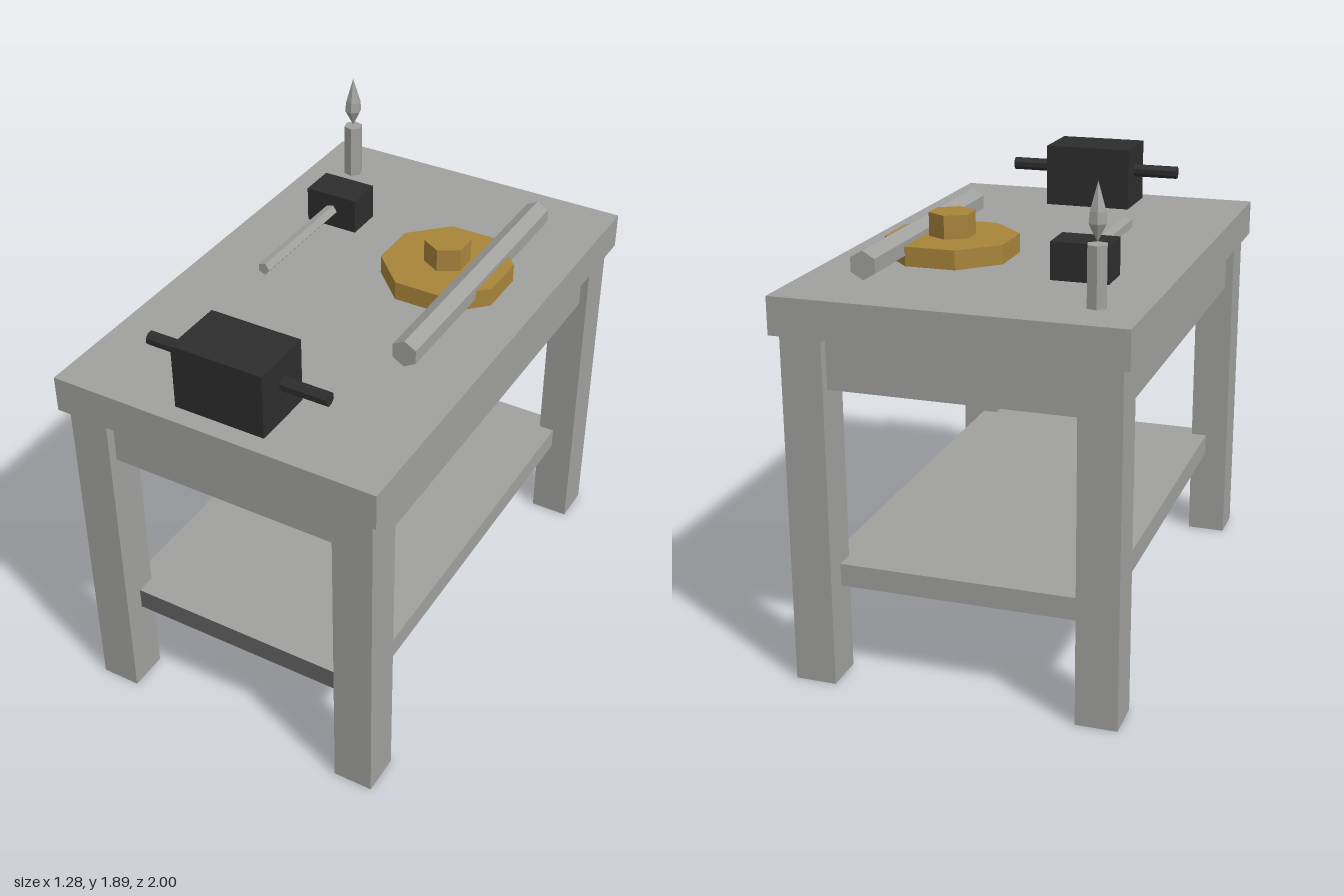
import * as THREE from 'three';

const paint = (name, color) => {
  const m = new THREE.MeshStandardMaterial({ color, flatShading: true });
  m.name = name;
  return m;
};

export function createModel() {
  const grey = paint('grey', 0xa0a09e);
  const darkGrey = paint('dark grey', 0x636363);
  const black = paint('black', 0x2d2d2d);
  const gold = paint('gold', 0xa8843a);

  const model = new THREE.Group();
  model.name = 'workbench';

  const add = (parent, name, geometry, material, x, y, z) => {
    const mesh = new THREE.Mesh(geometry, material);
    mesh.name = name;
    mesh.position.set(x, y, z);
    parent.add(mesh);
    return mesh;
  };
  const group = (name) => {
    const g = new THREE.Group();
    g.name = name;
    model.add(g);
    return g;
  };
  const box = (w, h, d) => new THREE.BoxGeometry(w, h, d);
  const prism = (r, h, sides, turn = 0) =>
    new THREE.CylinderGeometry(r, r, h, sides).rotateY(turn);

  // Table: top, apron block, shelf and four legs
  const table = group('table');
  const TOP = 1.465;
  add(table, 'tabletop', box(1.28, 0.14, 2), grey, 0, 1.395, 0);
  add(table, 'apron', box(1.16, 0.2, 1.87), grey, 0, 1.227, 0);
  // The shelf has a darker front edge
  add(table, 'shelf', box(1.04, 0.086, 1.78),
    [grey, grey, grey, grey, darkGrey, grey], 0, 0.403, 0);
  for (const x of [-1, 1]) {
    for (const z of [-1, 1]) {
      add(table, 'leg', box(0.155, 1.325, 0.157), grey, x * 0.534, 0.6625, z * 0.893);
    }
  }

  // Block with a rod running through it
  const block = group('rodBlock');
  add(block, 'block', box(0.355, 0.25, 0.245), black, -0.002, TOP + 0.125, 0.805);
  add(block, 'rod', prism(0.026, 0.715, 8, Math.PI / 8).rotateZ(Math.PI / 2),
    black, -0.003, 1.61, 0.8);

  // Mallet lying on the bench
  const mallet = group('mallet');
  add(mallet, 'malletHead', box(0.215, 0.14, 0.145), black, -0.322, TOP + 0.07, -0.432);
  add(mallet, 'malletHandle', prism(0.025, 0.54, 5, 0.25).rotateX(Math.PI / 2),
    grey, -0.322, 1.537, -0.13);

  // Octagonal plate with a hexagonal hub
  const wheel = group('wheel');
  add(wheel, 'wheelPlate', prism(0.251, 0.073, 8, Math.PI / 8), gold, 0.247, TOP + 0.0365, -0.252);
  add(wheel, 'wheelHub', prism(0.088, 0.09, 6), gold, 0.247, 1.582, -0.252);

  // Hexagonal bar resting across the plate
  add(model, 'bar', prism(0.053, 1.108, 6).rotateX(Math.PI / 2), grey, 0.39, 1.53, -0.198);

  // Candle with a pointed flame
  const candle = group('candle');
  add(candle, 'candleStick', prism(0.038, 0.215, 6, 0.25), grey, -0.466, TOP + 0.1075, -0.787);
  const flame = [[0, 1.685], [0.034, 1.75], [0.03, 1.79], [0, 1.89]]
    .map(([r, y]) => new THREE.Vector2(r, y));
  add(candle, 'flame', new THREE.LatheGeometry(flame, 6).rotateY(0.25), grey, -0.466, 0, -0.787);

  return model;
}
